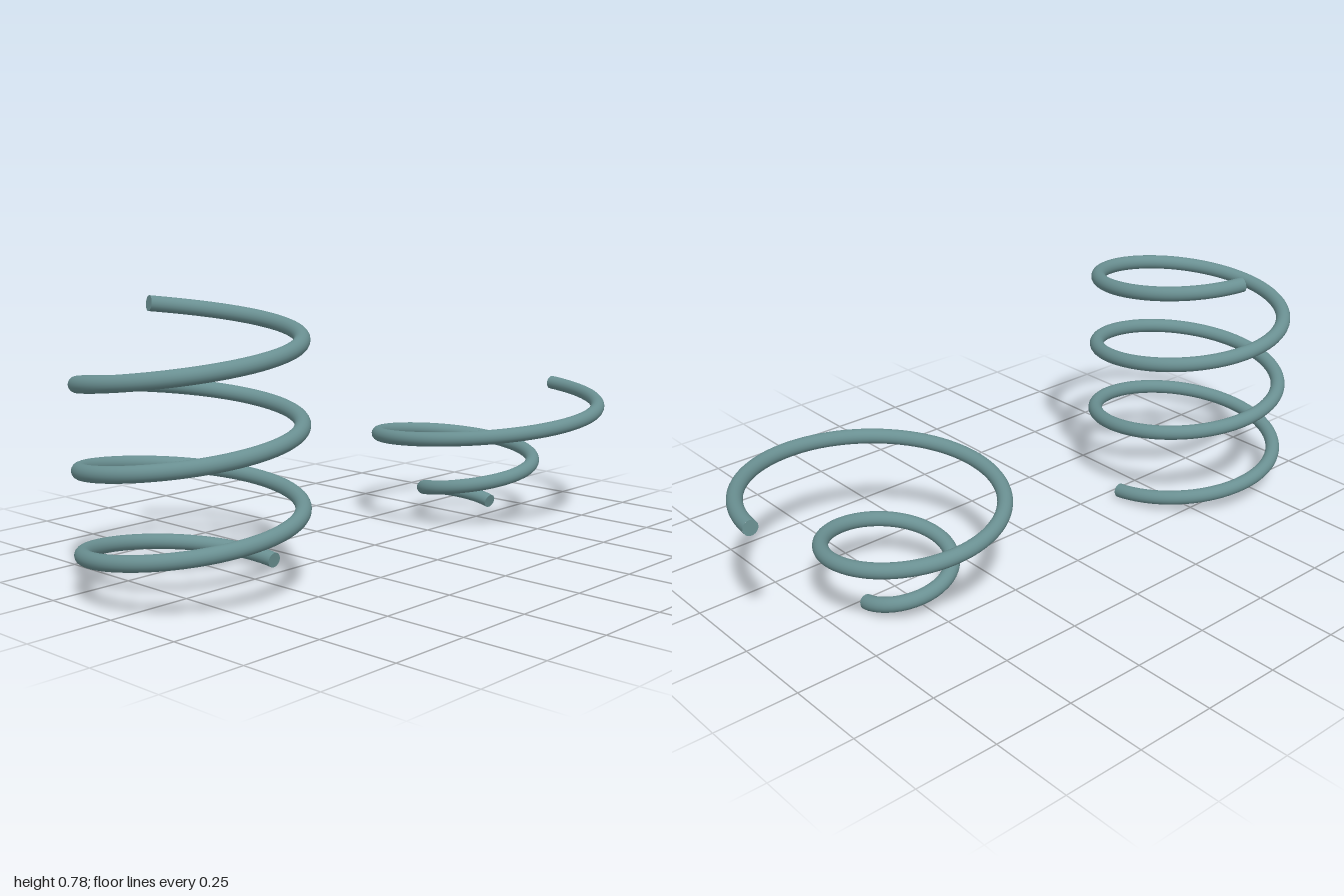
import * as THREE from 'three';

const WIRE_RADIUS = 0.0225;
const CENTRE_Z = -0.045;
const START_Y = 0.023;

// Rising coil; its radius is multiplied by `growth` on every turn
class CoilCurve extends THREE.Curve {
  constructor({ centreX, radius, turns, pitch, growth }) {
    super();
    Object.assign(this, { centreX, radius, turns, pitch, growth });
    this.arcLengthDivisions = 1000;
  }

  getPoint(t, target = new THREE.Vector3()) {
    const turn = t * this.turns;
    const angle = turn * Math.PI * 2;
    const r = this.radius * Math.pow(this.growth, turn);
    return target.set(
      this.centreX + r * Math.cos(angle),
      START_Y + this.pitch * turn,
      CENTRE_Z - r * Math.sin(angle)
    );
  }
}

// Round wire swept along the coil, closed by a disc at each end
function makeSpring(name, options, material) {
  const curve = new CoilCurve(options);
  const spring = new THREE.Group();
  spring.name = name;

  const segments = Math.round(options.turns * 80);
  const wire = new THREE.Mesh(
    new THREE.TubeGeometry(curve, segments, WIRE_RADIUS, 20, false),
    material
  );
  wire.name = name + 'Wire';
  spring.add(wire);

  for (const [t, outward, label] of [[0, -1, 'LowerEnd'], [1, 1, 'UpperEnd']]) {
    const cap = new THREE.Mesh(new THREE.CircleGeometry(WIRE_RADIUS, 20), material);
    cap.name = name + label;
    cap.position.copy(curve.getPointAt(t));
    cap.lookAt(cap.position.clone().addScaledVector(curve.getTangentAt(t), outward));
    spring.add(cap);
  }
  return spring;
}

export function createModel() {
  const steel = new THREE.MeshStandardMaterial({ color: 0x6a9092 });
  steel.name = 'tealSteel';

  const model = new THREE.Group();
  model.name = 'springs';

  // Straight spring of constant radius
  model.add(makeSpring('cylindricalSpring',
    { centreX: -0.68, radius: 0.298, turns: 3.2, pitch: 0.231, growth: 1 }, steel));

  // Spring that doubles its radius each turn
  model.add(makeSpring('spiralSpring',
    { centreX: 0.514, radius: 0.116, turns: 2, pitch: 0.186, growth: 2 }, steel));

  return model;
}
